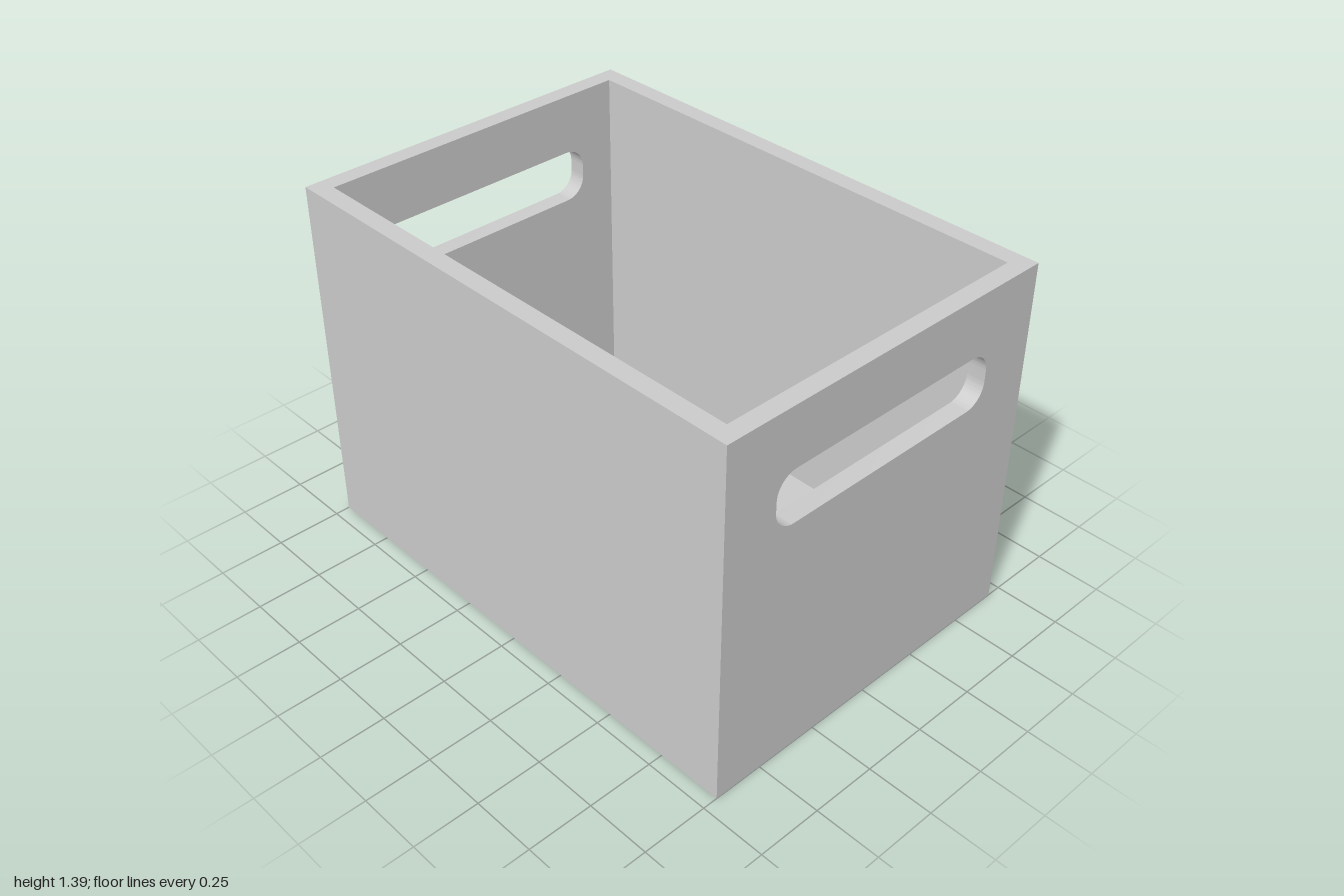
import * as THREE from 'three';
import { toCreasedNormals } from 'three/addons/utils/BufferGeometryUtils.js';

const W = 1.386, H = 1.386, D = 2;     // outer size
const T = 0.068;                       // wall and floor thickness
const IW = W - 2 * T, ID = D - 2 * T;  // cavity size

// The crate is a hollow shell, open underneath
const grey = new THREE.MeshStandardMaterial({ color: 0xcccccc, side: THREE.DoubleSide });

function add(parent, name, geometry, x = 0, y = 0, z = 0, turn = 0) {
  const mesh = new THREE.Mesh(geometry, grey);
  mesh.name = name;
  mesh.position.set(x, y, z);
  mesh.rotation.y = turn;
  parent.add(mesh);
}

function rectangle(w, y0, y1, Type = THREE.Shape) {
  return new Type([[-w, y0], [w, y0], [w, y1], [-w, y1], [-w, y0]].map(([x, y]) => new THREE.Vector2(x / 2, y)));
}

// Hand slot outline
function roundedSlot(x, y0, y1, r) {
  const p = new THREE.Path();
  p.moveTo(-x + r, y0);
  p.lineTo(x - r, y0);
  p.absarc(x - r, y0 + r, r, -Math.PI / 2, 0);
  p.absarc(x - r, y1 - r, r, 0, Math.PI / 2);
  p.absarc(-x + r, y1 - r, r, Math.PI / 2, Math.PI);
  p.absarc(-x + r, y0 + r, r, Math.PI, Math.PI * 1.5);
  return p;
}
const slot = roundedSlot(0.482, 0.954, 1.157, 0.08);

function slottedPanel(w, y0) {
  const shape = rectangle(w, y0, H);
  shape.holes.push(slot);
  return new THREE.ShapeGeometry(shape, 10);
}

// Strip through the wall along the slot outline, inner row then outer row
function slotLining() {
  const points = slot.getPoints(10);
  const n = points.length;
  const strip = new THREE.PlaneGeometry(1, 1, n - 1, 1);
  for (let i = 0; i < 2 * n; i++) {
    const p = points[i % n];
    strip.attributes.position.setXYZ(i, p.x, p.y, i < n ? -T : 0);
  }
  return toCreasedNormals(strip, 0.6);
}

export function createModel() {
  const crate = new THREE.Group();
  crate.name = 'crate';

  // End walls: outer face, cavity face and slot lining
  const outerEnd = slottedPanel(W, 0);
  const innerEnd = slottedPanel(IW, T);
  const lining = slotLining();
  for (const [name, turn] of [['frontWall', 0], ['backWall', Math.PI]]) {
    const wall = new THREE.Group();
    wall.name = name;
    add(wall, 'outerFace', outerEnd, 0, 0, D / 2);
    add(wall, 'innerFace', innerEnd.clone().rotateY(Math.PI), 0, 0, ID / 2);
    add(wall, 'slotLining', lining, 0, 0, D / 2);
    wall.rotation.y = turn;
    crate.add(wall);
  }

  // Side walls: outer and cavity faces
  for (const s of [1, -1]) {
    const wall = new THREE.Group();
    wall.name = s > 0 ? 'leftWall' : 'rightWall';
    add(wall, 'outerFace', new THREE.PlaneGeometry(D, H), s * W / 2, H / 2, 0, s * Math.PI / 2);
    add(wall, 'innerFace', new THREE.PlaneGeometry(ID, H - T), s * IW / 2, (H + T) / 2, 0, -s * Math.PI / 2);
    crate.add(wall);
  }

  // Flat rim joining the outer and cavity faces
  const rim = rectangle(W, -D / 2, D / 2);
  rim.holes.push(rectangle(IW, -ID / 2, ID / 2, THREE.Path));
  add(crate, 'rim', new THREE.ShapeGeometry(rim).rotateX(-Math.PI / 2), 0, H, 0);

  // Cavity floor
  add(crate, 'floor', new THREE.PlaneGeometry(IW, ID).rotateX(-Math.PI / 2), 0, T, 0);

  return crate;
}
